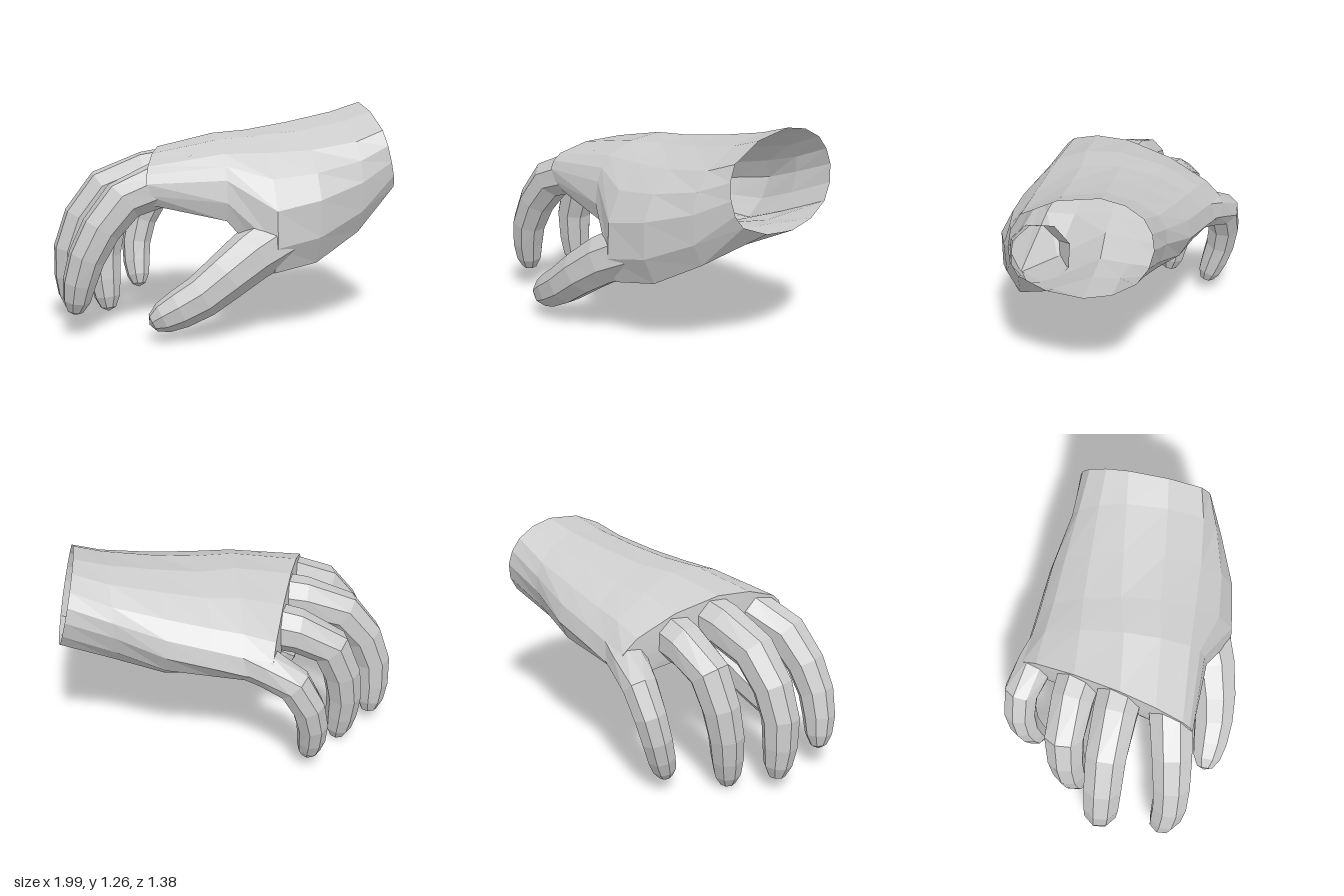
import * as THREE from 'three';

const material = new THREE.MeshStandardMaterial({
  color: 0xcccccc, flatShading: true, side: THREE.DoubleSide,
});

// Skin a row of equal-length rings; the far end closes onto the point `tip`.
function loft(name, rings, tip) {
  const n = rings[0].length;
  const points = [...rings.flat(), tip];
  const index = [];
  for (let i = 0; i < rings.length; i++) {
    for (let j = 0; j < n; j++) {
      const k = (j + 1) % n;
      const a = i * n + j, b = i * n + k;
      if (i === rings.length - 1) index.push(a, points.length - 1, b);
      else index.push(a, a + n, b, b, a + n, b + n);
    }
  }
  let geometry = new THREE.BufferGeometry().setFromPoints(points);
  geometry.setIndex(index);
  geometry = geometry.toNonIndexed();
  geometry.computeVertexNormals();
  const mesh = new THREE.Mesh(geometry, material);
  mesh.name = name;
  return mesh;
}

// A finger: eight-sided rings along a bent curve, tapering to a rounded tip.
function finger(name, joints, baseRadius, tipRadius) {
  const curve = new THREE.CatmullRomCurve3(joints.map((p) => new THREE.Vector3(...p)));
  const steps = 8, sides = 8;
  const rings = Array.from({ length: steps }, (_, i) => {
    const t = Math.sin((i / steps) * Math.PI / 2); // rings gather towards the tip
    const radius = THREE.MathUtils.lerp(baseRadius, tipRadius, t) * Math.sqrt(1 - t ** 16);
    const centre = curve.getPointAt(t);
    const along = curve.getTangentAt(t);
    const side = new THREE.Vector3(0, 0, 1).projectOnPlane(along).normalize();
    const up = along.clone().cross(side);
    return Array.from({ length: sides }, (_, j) => {
      const angle = ((j + 0.5) / sides) * Math.PI * 2;
      return centre.clone()
        .addScaledVector(up, Math.cos(angle) * radius)
        .addScaledVector(side, Math.sin(angle) * radius);
    });
  });
  return loft(name, rings, curve.getPointAt(1));
}

// A palm section: a closed curve through eight [y, z] corners, set on a slanted plane.
// Corners: top, upper and outer thumb side, ball of thumb, hollow, heel,
// outer and upper little finger side.
function section(x, slopeY, slopeZ, corners) {
  const curve = new THREE.CatmullRomCurve3(
    corners.map(([y, z]) => new THREE.Vector3(x + slopeY * y + slopeZ * z, y, z)), true);
  return curve.getPoints(16).slice(0, 16);
}

export function createModel() {
  const hand = new THREE.Group();
  hand.name = 'hand';

  // Palm, from the open wrist to the knuckles
  hand.add(loft('palm', [
    section(1.158, -0.22, -0.1, [[1.26, -0.03], [1.13, 0.4], [0.95, 0.465], [0.8, 0.41],
      [0.72, 0.05], [0.83, -0.23], [1.02, -0.32], [1.18, -0.26]]),
    section(0.7, 0, 0, [[1.205, -0.03], [1.07, 0.42], [0.85, 0.54], [0.55, 0.46],
      [0.68, 0.05], [0.71, -0.24], [0.92, -0.36], [1.09, -0.31]]),
    section(0.42, 0, 0, [[1.15, -0.03], [1.03, 0.42], [0.77, 0.62], [0.4, 0.54],
      [0.64, 0.05], [0.61, -0.28], [0.82, -0.47], [1.02, -0.37]]),
    section(0.16, 0, 0, [[1.11, -0.03], [1.02, 0.4], [0.72, 0.63], [0.36, 0.58],
      [0.67, 0.06], [0.6, -0.32], [0.76, -0.53], [0.96, -0.42]]),
    section(-0.05, 0, -0.08, [[1.1, 0], [1.02, 0.38], [0.88, 0.47], [0.65, 0.46],
      [0.7, 0.05], [0.61, -0.38], [0.72, -0.57], [0.93, -0.46]]),
    section(-0.38, 0, -0.38, [[1.03, 0], [0.96, 0.36], [0.87, 0.42], [0.75, 0.38],
      [0.75, 0.04], [0.66, -0.47], [0.73, -0.62], [0.88, -0.5]]),
  ], new THREE.Vector3(-0.38, 0.85, -0.05)));

  hand.add(
    finger('indexFinger',
      [[-0.22, 0.88, 0.27], [-0.62, 0.79, 0.31], [-0.86, 0.46, 0.32], [-0.93, 0.12, 0.27]], 0.145, 0.09),
    finger('middleFinger',
      [[-0.22, 0.9, 0.02], [-0.66, 0.8, -0.06], [-0.87, 0.48, -0.08], [-0.88, 0.06, -0.1]], 0.145, 0.095),
    finger('ringFinger',
      [[-0.15, 0.85, -0.22], [-0.52, 0.74, -0.31], [-0.65, 0.42, -0.3], [-0.64, 0, -0.24]], 0.14, 0.09),
    finger('littleFinger',
      [[0.02, 0.78, -0.42], [-0.28, 0.65, -0.59], [-0.39, 0.38, -0.59], [-0.395, 0.08, -0.5]], 0.12, 0.08),
    finger('thumb',
      [[0.4, 0.63, 0.4], [0, 0.44, 0.54], [-0.25, 0.26, 0.57], [-0.55, 0.1, 0.53]], 0.18, 0.1),
  );
  return hand;
}
